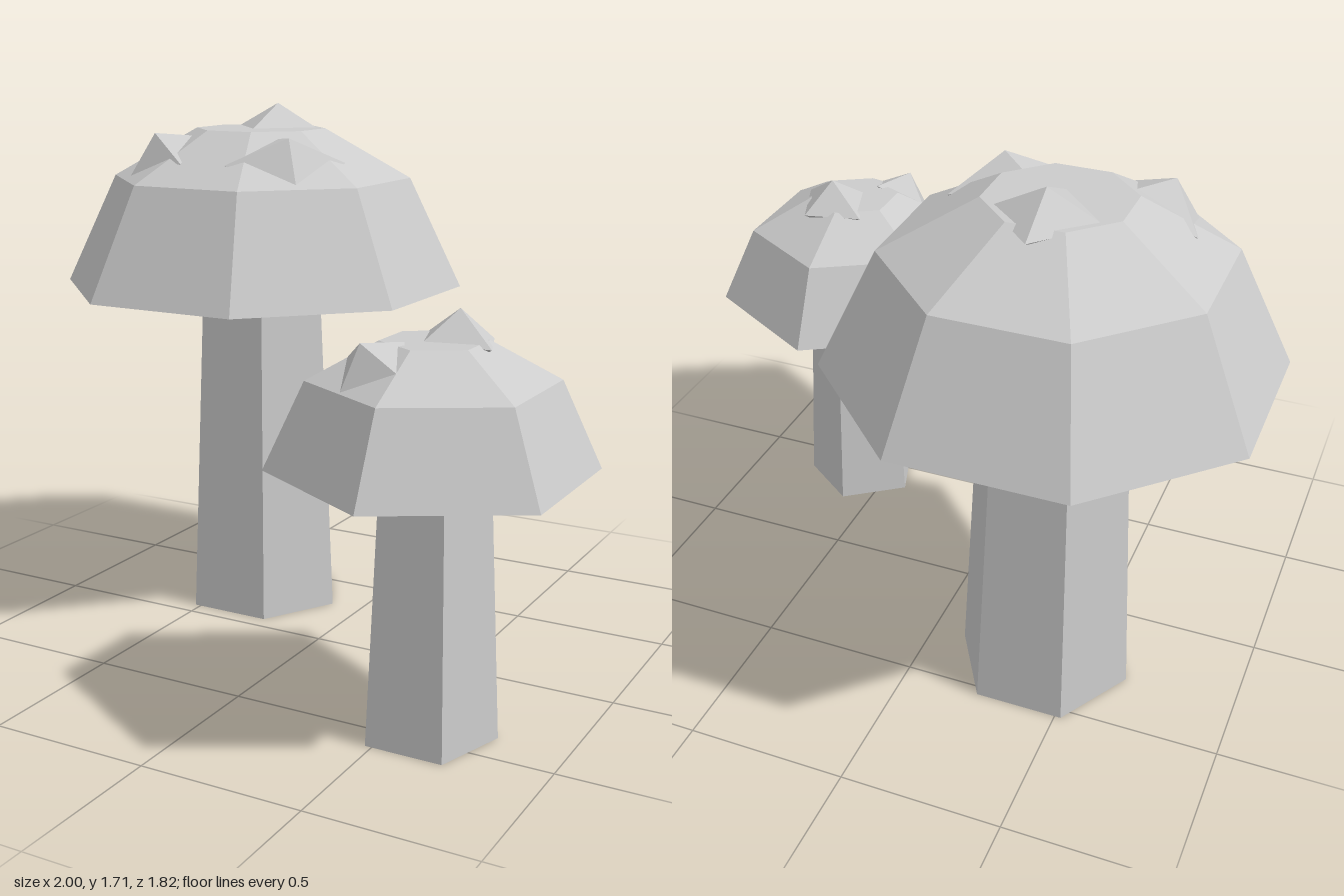
import * as THREE from 'three';

const material = new THREE.MeshStandardMaterial({
  color: 0xcccccc, flatShading: true, side: THREE.DoubleSide,
});

function addMesh(parent, name, geometry) {
  const mesh = new THREE.Mesh(geometry, material);
  mesh.name = name;
  parent.add(mesh);
  return mesh;
}

// Open, tapered stem standing on the ground
function addStem(parent, { sides, turn, bottom, top, height }) {
  const geometry = new THREE.CylinderGeometry(top, bottom, height, sides, 1, true);
  geometry.rotateY(turn).translate(0, height / 2, 0);
  addMesh(parent, 'stem', geometry);
}

// Hollow faceted cap with a flat crown
function addCap(parent, { sides, turn, profile }) {
  const points = profile.map(([r, y]) => new THREE.Vector2(r, y));
  const geometry = new THREE.LatheGeometry(points, sides).rotateY(turn);
  addMesh(parent, 'cap', geometry);
}

// Squashed octahedral spot, leaning outward with the slope of the cap
function addSpot(parent, { angle, distance, y, across, along, height, tilt }) {
  const pivot = new THREE.Group();
  pivot.name = 'spot';
  pivot.rotation.y = angle;
  parent.add(pivot);
  const mesh = addMesh(pivot, 'spotFacets', new THREE.OctahedronGeometry(1));
  mesh.scale.set(across, height, along);
  mesh.rotation.x = tilt;
  mesh.position.set(0, y, distance);
}

function createMushroom(name, x, z, { stem, cap, spots }) {
  const group = new THREE.Group();
  group.name = name;
  group.position.set(x, 0, z);
  addStem(group, stem);
  addCap(group, cap);
  spots.forEach((spot) => addSpot(group, spot));
  return group;
}

export function createModel() {
  const model = new THREE.Group();
  model.name = 'mushroomPair';

  const sideSpot = { distance: 0.313, y: 1.535, across: 0.198, along: 0.153, height: 0.095, tilt: 0.47 };
  model.add(createMushroom('largeMushroom', -0.382, -0.295, {
    stem: { sides: 6, turn: Math.PI / 6, bottom: 0.275, top: 0.22, height: 1.2 },
    cap: {
      sides: 8, turn: Math.PI / 8,
      profile: [[0.67, 1.11], [0.498, 1.47], [0.215, 1.63], [0, 1.63]],
    },
    spots: [
      { ...sideSpot, angle: -Math.PI / 4 },
      { ...sideSpot, angle: Math.PI / 4 },
      { angle: Math.PI, distance: 0.11, y: 1.622, across: 0.162, along: 0.162, height: 0.085, tilt: 0.04 },
    ],
  }));

  model.add(createMushroom('smallMushroom', 0.597, 0.44, {
    stem: { sides: 5, turn: Math.PI, bottom: 0.2, top: 0.16, height: 0.85 },
    cap: {
      sides: 6, turn: 0,
      profile: [[0.465, 0.78], [0.35, 1.03], [0.15, 1.14], [0, 1.14]],
    },
    spots: [
      { angle: -Math.PI / 6, distance: 0.198, y: 1.088, across: 0.129, along: 0.117, height: 0.08, tilt: 0.52 },
      { angle: Math.PI * 5 / 6, distance: 0.08, y: 1.13, across: 0.147, along: 0.122, height: 0.09, tilt: 0.05 },
    ],
  }));

  return model;
}
